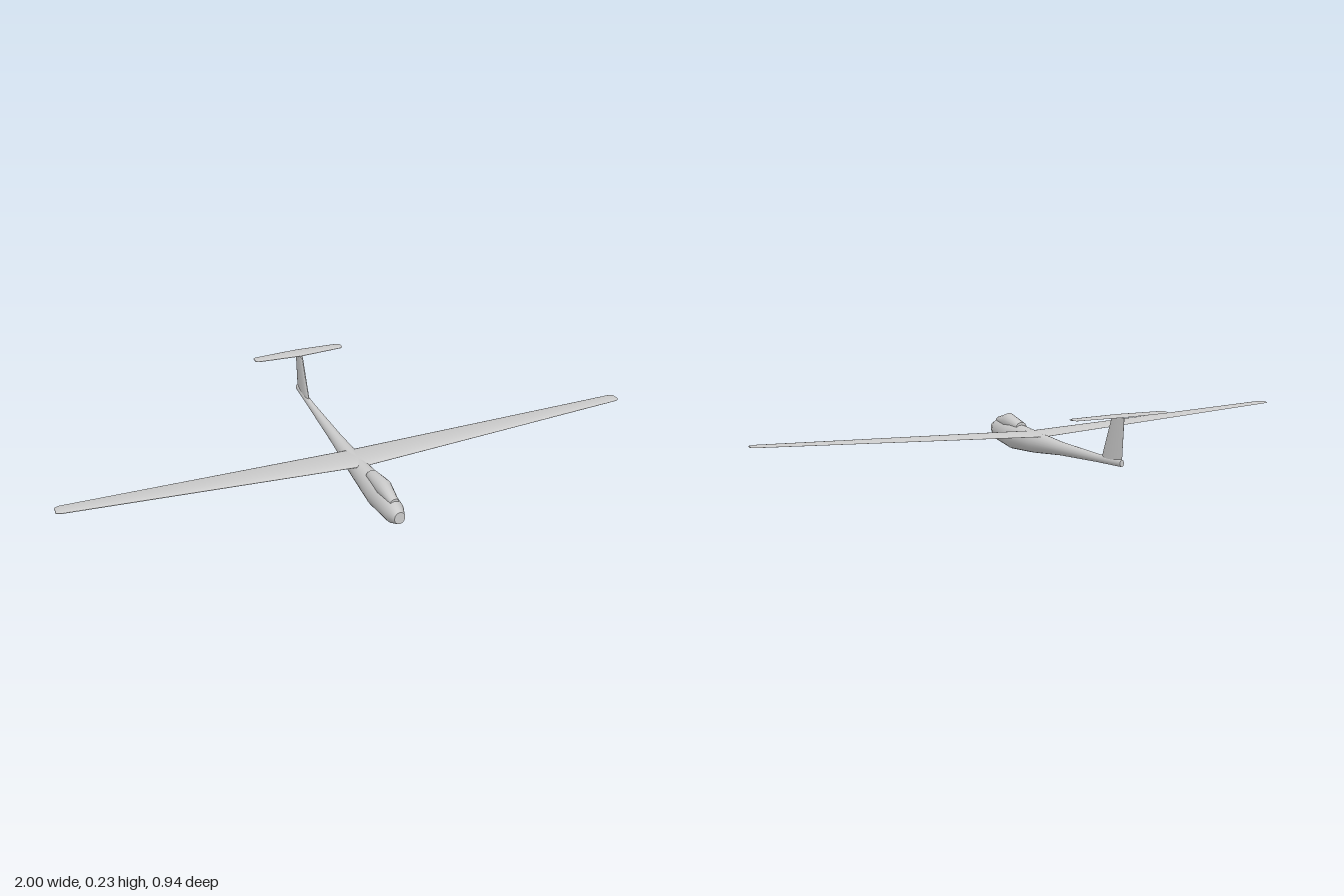
import * as THREE from 'three';

const material = new THREE.MeshStandardMaterial({ color: 0xcccccc });

// Skin closed rings of points, with flat end caps; faces are turned outward by signed volume.
function loft(name, rings) {
  const n = rings[0].length, pos = [], idx = [];
  for (const ring of rings) for (const p of ring) pos.push(...p);
  for (let r = 0; r < rings.length - 1; r++) {
    for (let i = 0; i < n; i++) {
      const a = r * n + i, b = r * n + (i + 1) % n;
      idx.push(a, b, a + n, b, b + n, a + n);
    }
  }
  // Caps use their own vertices so their edges stay sharp
  [rings[0], rings[rings.length - 1]].forEach((ring, end) => {
    const c = pos.length / 3;
    pos.push(...[0, 1, 2].map(k => ring.reduce((s, p) => s + p[k], 0) / n));
    for (const p of ring) pos.push(...p);
    for (let i = 0; i < n; i++) {
      const a = c + 1 + i, b = c + 1 + (i + 1) % n;
      end ? idx.push(c, a, b) : idx.push(c, b, a);
    }
  });
  const v = i => new THREE.Vector3().fromArray(pos, i * 3);
  let volume = 0;
  for (let i = 0; i < idx.length; i += 3) {
    volume += v(idx[i]).dot(v(idx[i + 1]).cross(v(idx[i + 2])));
  }
  if (volume < 0) idx.reverse();
  const geo = new THREE.BufferGeometry();
  geo.setAttribute('position', new THREE.Float32BufferAttribute(pos, 3));
  geo.setIndex(idx);
  geo.computeVertexNormals();
  const mesh = new THREE.Mesh(geo, material);
  mesh.name = name;
  return mesh;
}

// Elliptical ring across z
function ellipse([z, bottom, top, halfWidth], sides = 24) {
  return Array.from({ length: sides }, (_, i) => {
    const a = i / sides * Math.PI * 2;
    return [Math.cos(a) * halfWidth, (top + bottom) / 2 + Math.sin(a) * (top - bottom) / 2, z];
  });
}

// Airfoil outline as [z, offset]: rounded leading edge, thin trailing edge
function airfoil(lead, trail, thickness, steps = 10) {
  const pts = [];
  for (let i = 0; i < steps * 2; i++) {
    const a = i / steps * Math.PI;
    const t = (1 - Math.cos(a)) / 2;
    const h = 1.3 * Math.sqrt(t) * (1 - t) * thickness;
    pts.push([lead + (trail - lead) * t, i <= steps ? h : -h * 0.9]);
  }
  return pts;
}

// Horizontal surface; stations are [x, y, lead, trail, thickness] for one side
function surface(name, stations) {
  const left = stations.slice(1).map(([x, ...rest]) => [-x, ...rest]).reverse();
  return loft(name, [...left, ...stations].map(([x, y, lead, trail, thick]) =>
    airfoil(lead, trail, thick).map(([z, h]) => [x, y + h, z])));
}

export function createModel() {
  const model = new THREE.Group();
  model.name = 'glider';

  // Body: z, bottom, top, half width
  model.add(loft('fuselage', [
    [0.468, 0.035, 0.078, 0.018],
    [0.428, 0.015, 0.095, 0.032],
    [0.30, 0.003, 0.10, 0.041],
    [0.13, 0.017, 0.093, 0.032],
    [-0.06, 0.041, 0.087, 0.021],
    [-0.30, 0.062, 0.089, 0.012],
    [-0.453, 0.073, 0.096, 0.007],
  ].map(s => ellipse(s))));

  model.add(loft('canopy', [
    [0.428, 0.078, 0.103, 0.015],
    [0.345, 0.066, 0.128, 0.026],
    [0.245, 0.076, 0.108, 0.02],
  ].map(s => ellipse(s, 16))));

  // Tapered wing with dihedral and clipped tips
  model.add(surface('wing', [
    [0, 0.085, 0.178, 0.058, 0.016],
    [0.985, 0.126, 0.157, 0.108, 0.007],
    [1.0, 0.126, 0.151, 0.115, 0.005],
  ]));

  // Swept fin: y, lead, trail, thickness
  model.add(loft('fin', [
    [0.08, -0.33, -0.452, 0.016],
    [0.228, -0.394, -0.465, 0.011],
  ].map(([y, lead, trail, thick]) => airfoil(lead, trail, thick).map(([z, h]) => [h, y, z]))));

  model.add(surface('tailplane', [
    [0, 0.23, -0.407, -0.468, 0.008],
    [0.158, 0.23, -0.418, -0.459, 0.006],
    [0.168, 0.23, -0.424, -0.453, 0.004],
  ]));

  return model;
}
